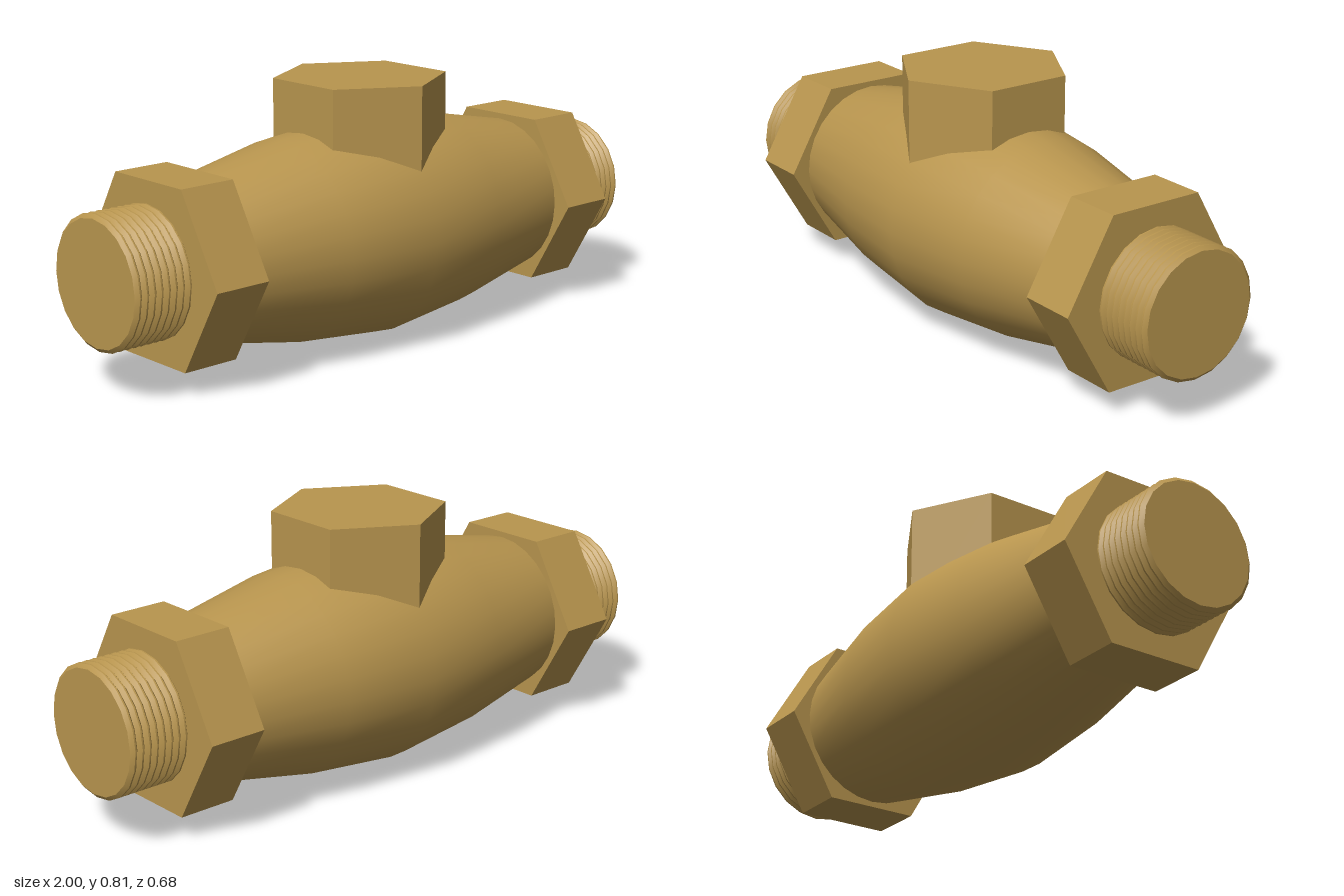
import * as THREE from 'three';
import { toCreasedNormals } from 'three/addons/utils/BufferGeometryUtils.js';

const AXIS_Y = 0.345; // height of the pipe axis

export function createModel() {
  const brass = new THREE.MeshStandardMaterial({ color: 0xb8954e });
  brass.name = 'brass';
  const model = new THREE.Group();
  model.name = 'pipeValve';

  const add = (parent, name, geometry) => {
    const mesh = new THREE.Mesh(geometry, brass);
    mesh.name = name;
    parent.add(mesh);
    return mesh;
  };
  // Profile of [radius, x] turned around the x axis
  const turned = (profile, sides) =>
    new THREE.LatheGeometry(profile.map(([r, x]) => new THREE.Vector2(r, x)), sides).rotateZ(-Math.PI / 2);
  // Hexagonal prism with corners towards +z and -z
  const hexagon = (radius, height) =>
    toCreasedNormals(new THREE.CylinderGeometry(radius, radius, height, 6), 0.5);

  // Barrel-shaped body
  const body = turned([[0.245, -0.64], [0.31, -0.31], [0.342, 0], [0.31, 0.31], [0.245, 0.64]], 28);
  add(model, 'body', body).position.y = AXIS_Y;

  // Hexagonal cap rising out of the body
  add(model, 'topCap', hexagon(0.27, 0.413)).position.y = 0.6065;

  // Ridged thread profile, closed by a flat end
  const ridges = 8, start = 0.805, end = 1, pitch = (end - start) / ridges;
  const thread = [];
  for (let i = 0; i < ridges; i++) {
    const x = start + i * pitch;
    thread.push([0.187, x], [0.199, x + pitch * 0.4], [0.199, x + pitch * 0.6]);
  }
  thread.push([0.187, end], [0, end]);

  // A nut and a threaded pipe at either end
  for (const side of [1, -1]) {
    const fitting = new THREE.Group();
    fitting.name = side > 0 ? 'leftFitting' : 'rightFitting';
    fitting.position.y = AXIS_Y;
    fitting.rotation.y = side > 0 ? 0 : Math.PI;
    add(fitting, 'hexNut', hexagon(0.306, 0.183).rotateZ(-Math.PI / 2)).position.x = 0.7185;
    add(fitting, 'threadedEnd', toCreasedNormals(turned(thread, 20), 0.5));
    model.add(fitting);
  }
  return model;
}
